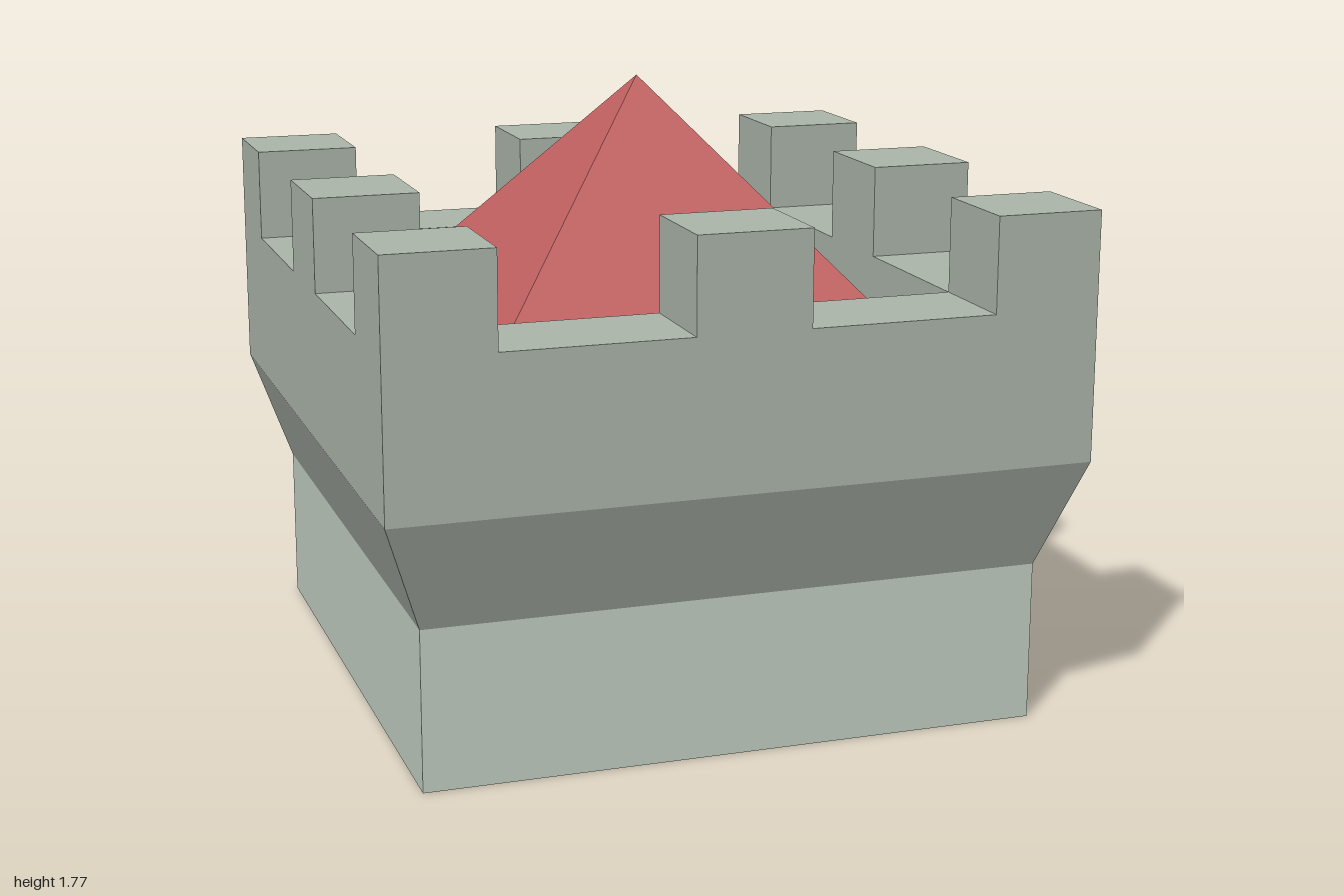
import * as THREE from 'three';

const stone = new THREE.MeshStandardMaterial({ color: 0xaeb7ac, flatShading: true });
const paleStone = new THREE.MeshStandardMaterial({ color: 0xc3d0c3, flatShading: true });
const roofRed = new THREE.MeshStandardMaterial({ color: 0xc06060, flatShading: true });

// Four-sided ring from a [half width, height] profile
function squareLathe(name, profile, material) {
  const points = profile.map(([half, y]) => new THREE.Vector2(half * Math.SQRT2, y));
  const geometry = new THREE.LatheGeometry(points, 4, Math.PI / 4).toNonIndexed();
  geometry.computeVertexNormals();
  const mesh = new THREE.Mesh(geometry, material);
  mesh.name = name;
  return mesh;
}

export function createModel() {
  const tower = new THREE.Group();
  tower.name = 'castleTower';

  const outer = 1, inner = 0.695, baseHalf = 0.89;
  const wallTop = 1.22, merlonTop = 1.49, roofFoot = 0.98;

  // Lower shaft with closed underside
  tower.add(squareLathe('base', [[0, 0], [baseHalf, 0], [baseHalf, 0.46]], paleStone));

  // Flared corbel, parapet wall, walkway and inner wall face
  tower.add(squareLathe('parapet', [
    [baseHalf, 0.46], [outer, 0.78], [outer, wallTop], [inner, wallTop], [inner, roofFoot],
  ], stone));

  // Pyramid roof inside the parapet
  tower.add(squareLathe('roof', [[inner, roofFoot], [0, 1.775]], roofRed));

  // Merlons at the corners and the middle of each side
  const merlons = new THREE.Group();
  merlons.name = 'merlons';
  const thickness = outer - inner, offset = (outer + inner) / 2, height = merlonTop - wallTop;
  for (const i of [-1, 0, 1]) {
    for (const k of [-1, 0, 1]) {
      if (i === 0 && k === 0) continue;
      const geometry = new THREE.BoxGeometry(i ? thickness : 0.325, height, k ? thickness : 0.325);
      const merlon = new THREE.Mesh(geometry, stone);
      merlon.name = i && k ? 'cornerMerlon' : 'middleMerlon';
      merlon.position.set(i * offset, wallTop + height / 2, k * offset);
      merlons.add(merlon);
    }
  }
  tower.add(merlons);
  return tower;
}
